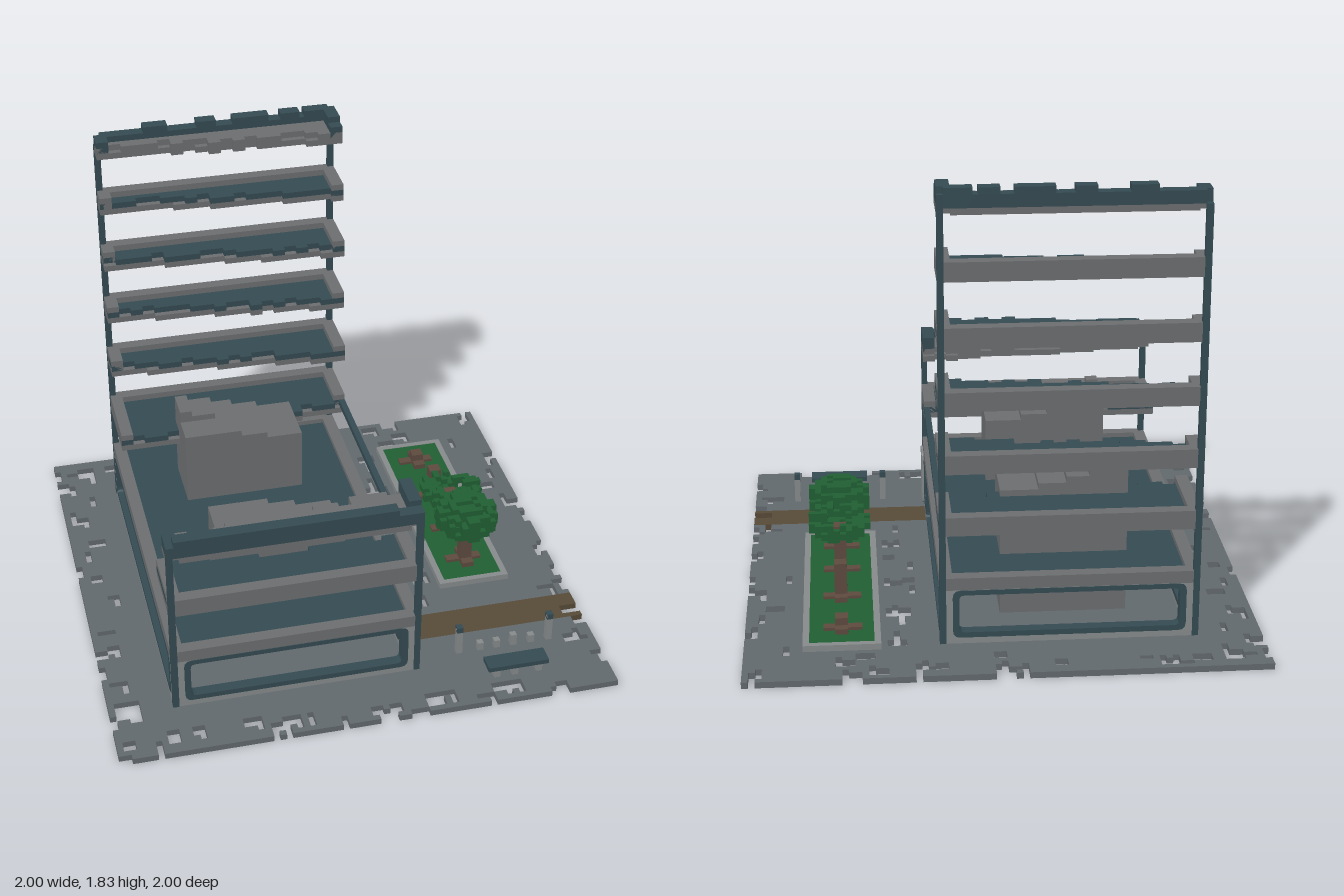
import * as THREE from 'three';
import { mergeGeometries } from 'three/addons/utils/BufferGeometryUtils.js';

const U = 0.025; // voxel edge

const mat = (name, color) => {
  const m = new THREE.MeshStandardMaterial({ color });
  m.name = name;
  return m;
};

export function createModel() {
  const paving = mat('paving grey', 0x62696d);
  const concrete = mat('concrete grey', 0x6b6d6f);
  const teal = mat('dark teal', 0x344b52);
  const light = mat('light grey', 0x868a8a);
  const green = mat('leaf green', 0x205f33);
  const bark = mat('bark brown', 0x5d4a3f);
  const dirt = mat('path brown', 0x574a38);

  const root = new THREE.Group();
  root.name = 'ruinedTower';

  let seed = 7;
  const rnd = () => (seed = (seed * 16807) % 2147483647) / 2147483647;

  // One mesh from a list of [x0, x1, y0, y1, z0, z1] boxes
  function part(name, material, boxes) {
    const geos = boxes.map(([x0, x1, y0, y1, z0, z1]) =>
      new THREE.BoxGeometry(x1 - x0, y1 - y0, z1 - z0)
        .translate((x0 + x1) / 2, (y0 + y1) / 2, (z0 + z1) / 2));
    const mesh = new THREE.Mesh(mergeGeometries(geos), material);
    mesh.name = name;
    root.add(mesh);
    return mesh;
  }

  // Ground: worn paving with chips missing, brown path set into it
  const hole = new Set();
  const knock = (i, k, w, d) => {
    for (let a = i; a < i + w; a++) for (let b = k; b < k + d; b++) {
      const x = a * U - 1, z = b * U - 1;
      const inHouse = x > -0.78 && x < 0.25 && z > -0.78 && z < 0.75;
      const inBed = x > 0.44 && x < 0.78 && z > -0.8 && z < 0.28;
      if (!inHouse && !inBed) hole.add(a + ',' + b);
    }
  };
  const chip = (i, k) => {
    const w = 1 + Math.floor(rnd() * 3);
    knock(i, k, w, w > 1 ? 1 + Math.floor(rnd() * 2) : 3);
    if (rnd() < 0.5) knock(i + w - 1, k + 1, 1, 2);
  };
  for (let n = 0; n < 24; n++) {
    const t = Math.floor(rnd() * 78), e = Math.floor(rnd() * rnd() * 9);
    chip(t, e);
    chip(Math.floor(rnd() * 78), 79 - Math.floor(rnd() * 5));
    chip(e, Math.floor(rnd() * 78));
    chip(79 - e, Math.floor(rnd() * 78));
    if (n < 16) chip(53 + Math.floor(rnd() * 4), 10 + Math.floor(rnd() * 45));
  }
  const pave = [], path = [];
  for (let k = 0; k < 80; k++) {
    const z = k * U - 1;
    const kind = i => hole.has(i + ',' + k) ? 0
      : i >= 50 && k >= 57 && k < 63 ? 2
      : i >= 60 && i < 70 && k >= 10 && k < 50 ? 0 : 1;
    for (let i = 0; i < 80;) {
      const t = kind(i);
      let j = i;
      while (j < 80 && kind(j) === t) j++;
      if (t) (t === 1 ? pave : path).push([i * U - 1, j * U - 1, 0, U, z, z + U]);
      i = j;
    }
  }
  part('paving', paving, pave);
  part('dirtPath', dirt, path);

  // Corner posts: tall at the back, broken off at the front
  const X0 = -0.75, X1 = 0.25, Z = 0.75;
  const posts = [];
  for (const x of [X0, X1 - U]) {
    posts.push([x, x + U, U, x < 0 ? 1.75 : 1.8, -Z, -Z + U]);
    posts.push([x, x + U, U, 0.8, Z - U, Z]);
  }
  part('cornerPosts', teal, posts);
  part('sideBeam', teal, [[X1 - U, X1, 0.5, 0.525, -0.5, 0.5]]);

  // Rounded rectangle outline for window openings
  function rounded(a, b, c, d, r, P = THREE.Shape) {
    const s = new P();
    s.moveTo(a + r, c).lineTo(b - r, c).quadraticCurveTo(b, c, b, c + r);
    s.lineTo(b, d - r).quadraticCurveTo(b, d, b - r, d);
    s.lineTo(a + r, d).quadraticCurveTo(a, d, a, d - r);
    s.lineTo(a, c + r).quadraticCurveTo(a, c, a + r, c);
    return s;
  }
  const plate = (name, material, shape, depth, z) => {
    const g = new THREE.ExtrudeGeometry(shape, { depth, bevelEnabled: false, curveSegments: 3 });
    const m = new THREE.Mesh(g.translate(0, 0, z), material);
    m.name = name;
    return m;
  };
  // Ground-floor wall along its own x axis, outside facing +z
  function wall(name, len, windows) {
    const g = new THREE.Group();
    g.name = name;
    const s = new THREE.Shape();
    const h = len / 2 - U;
    s.moveTo(-h, U).lineTo(h, U).lineTo(h, 0.25).lineTo(-h, 0.25).lineTo(-h, U);
    for (const [a, b] of windows) {
      s.holes.push(rounded(a, b, 0.05, 0.248, 0.03, THREE.Path));
      const ring = rounded(a, b, 0.05, 0.248, 0.03);
      ring.holes.push(rounded(a + U, b - U, 0.072, 0.228, 0.02, THREE.Path));
      g.add(plate('windowFrame', teal, ring, 0.045, -0.045));
    }
    g.add(plate('wallPanel', light, s, 0.04, -0.042));
    root.add(g);
    return g;
  }
  wall('frontWall', 1, [[-0.45, 0.45]]).position.set(-0.25, 0, Z);
  const back = wall('backWall', 1, [[-0.45, 0.45]]);
  back.position.set(-0.25, 0, -Z);
  back.rotation.y = Math.PI;
  const right = wall('rightWall', 1.5, [[-0.6, -0.41], [-0.375, 0.7]]);
  right.position.x = X1;
  right.rotation.y = Math.PI / 2;
  const left = wall('leftWall', 1.5, [[-0.7, 0.7]]);
  left.position.x = X0;
  left.rotation.y = -Math.PI / 2;
  const door = plate('door', light, rounded(-0.72, -0.605, U, 0.265, 0.025), 0.008, 0);
  right.add(door);

  // First floor: complete deck with a raised rim
  part('firstFloorRim', concrete, [
    [X0 + U, X1 - U, 0.25, 0.3, Z - 0.05, Z], [X0 + U, X1 - U, 0.25, 0.3, -Z, -Z + 0.05],
    [X0, X0 + 0.05, 0.25, 0.3, -Z + U, Z - U], [X1 - 0.05, X1, 0.25, 0.3, -Z + U, Z - U],
    [X0 + 0.05, X1 - 0.05, 0.25, 0.258, -Z + 0.05, Z - 0.05]]);
  part('firstFloorDeck', teal, [[X0 + 0.05, X1 - 0.05, 0.258, 0.28, -Z + 0.05, Z - 0.05]]);

  // Broken upper slab; side is -1 at the back, 1 at the front;
  // dl and dr are the remaining depths at the left and right of the view
  function slab(name, y, side, dl, dr, roof = false) {
    const body = [], deck = [], rim = [];
    const span = (a, b) => side > 0 ? [Z - b, Z - a] : [a - Z, b - Z];
    for (let i = 0; i < 20; i++) {
      const x = X0 + i * 0.05, end = i === 0 || i === 19;
      const a = i === 0 ? x + U * 0.02 : x, b = x + 0.05;
      const t = i / 19;
      const d = Math.round((dl + (dr - dl) * t + (rnd() - 0.5) * 0.02) / U) * U;
      const e = Math.max(d - (rnd() < 0.4 ? U : 0), 0.05);
      const s = end ? U : 0;
      body.push([a, b, y - U, y, ...span(s, d)]);
      (roof ? body : deck).push([a, b, y, y + U, ...span(0.05, Math.max(e, 0.06))]);
      const lo = roof ? y : y - U, o = i === 0 ? U : 0, q = i === 19 ? U : 0;
      rim.push([a + o, b - q, lo, y + 0.05, ...span(0, 0.05)]);
      if (end) rim.push([a, b, lo, y + 0.05, ...span(U, e)]);
    }
    part(name + 'Body', concrete, body);
    if (deck.length) part(name + 'Deck', teal, deck);
    part(name + 'Rim', roof ? teal : concrete, rim);
  }
  slab('secondFloorFront', 0.5, 1, 0.275, 0.25);
  slab('secondFloorBack', 0.5, -1, 0.35, 0.27);
  slab('thirdFloorBack', 0.75, -1, 0.14, 0.25);
  slab('fourthFloor', 1.0, -1, 0.12, 0.225);
  slab('fifthFloor', 1.25, -1, 0.11, 0.225);
  slab('sixthFloor', 1.5, -1, 0.1, 0.18);
  slab('roof', 1.75, -1, 0.09, 0.175, true);
  slab('lowerRoof', 0.75, 1, 0.12, 0.22, true);

  // Crumbled parapets
  part('roofParapet', teal, [[-0.55, -0.45], [-0.33, -0.25], [-0.18, -0.03], [0.02, 0.1], [0.12, 0.225]]
    .map(([a, b]) => [a, b, 1.8, 1.825, -Z, -Z + 0.05]).concat([[0.2, 0.25, 1.8, 1.825, -0.725, -0.62]]));
  part('lowerParapet', teal, [[-0.72, 0.15, 0.8, 0.825, Z - 0.05, Z], [0.2, 0.25, 0.8, 0.825, 0.55, 0.7]]);

  // Stair cores with stepped broken tops
  for (const [name, z0, za, zb] of [['frontCore', 0.25, 0.45, 0.5], ['backCore', -0.5, -0.5, -0.37]]) {
    const z1 = z0 + 0.25;
    part(name, concrete, [
      [-0.5, 0, U, 0.55, z0, z1],
      [-0.5, -0.15, 0.55, 0.575, z0, z1],
      [-0.5, -0.26, 0.575, 0.6, z0, z1],
      [-0.5, -0.35, 0.6, 0.625, za, zb],
      [-0.5, -0.45, 0.625, 0.65, za, zb]]);
  }

  // Planting bed
  part('bedBorder', light, [
    [0.475, 0.5, U, 0.05, -0.775, 0.275], [0.75, 0.775, U, 0.05, -0.775, 0.275],
    [0.5, 0.75, U, 0.05, -0.775, -0.75], [0.5, 0.75, U, 0.05, 0.25, 0.275]]);
  part('grass', green, [[0.5, 0.75, 0, 0.048, -0.75, 0.25]]);

  // Trees: trunk with flared roots, canopy of blocks within an ellipsoid
  const cx = 0.625;
  [[0.125, 0.25], [-0.1, 0.25], [-0.35, 0.2], [-0.625, 0.1]].forEach(([z, top], n) => {
    part('trunk', bark, [
      [cx - U, cx + U, 0.04, top, z - U, z + U],
      [cx - 0.08, cx + 0.07, 0.04, 0.06, z - U, z + U / 2],
      [cx - U, cx + U, 0.04, 0.07, z - 0.06, z + 0.06]]);
    if (n > 1) return;
    const leaves = [];
    for (let i = -5; i < 5; i++) for (let j = 0; j < 6; j++) for (let k = -5; k < 5; k++) {
      const r = Math.hypot((i + 0.5) / 5, (j - 2.5) / 3.4, (k + 0.5) / 5);
      const eaten = n === 1 && (j > 3 - (k < 0 ? 1 : 0) || rnd() < 0.35);
      if (r > 1.02 || r < 0.5 || eaten || rnd() < 0.12) continue;
      const x = cx + i * U, y = 0.2 + j * U, zz = z + k * U;
      leaves.push([x, x + U, y, y + U, zz, zz + U]);
    }
    part('canopy', green, leaves);
  });

  // Bench and bollards beside the path
  part('benchSeat', teal, [[0.5, 0.75, 0.06, 0.08, 0.8, 0.875]]);
  part('benchLegs', light, [0.525, 0.6, 0.7].map(x => [x, x + U, U, 0.06, 0.8, 0.87]));
  part('bollards', light, [[0.42, 0.15], [0.51, 0.06], [0.58, 0.06], [0.65, 0.075], [0.725, 0.06], [0.8, 0.15]]
    .map(([x, h]) => [x, x + U, U, h, 0.67, 0.695]));
  part('bollardCaps', teal, [0.42, 0.8].map(x => [x, x + U, 0.13, 0.155, 0.669, 0.696]));

  return root;
}
